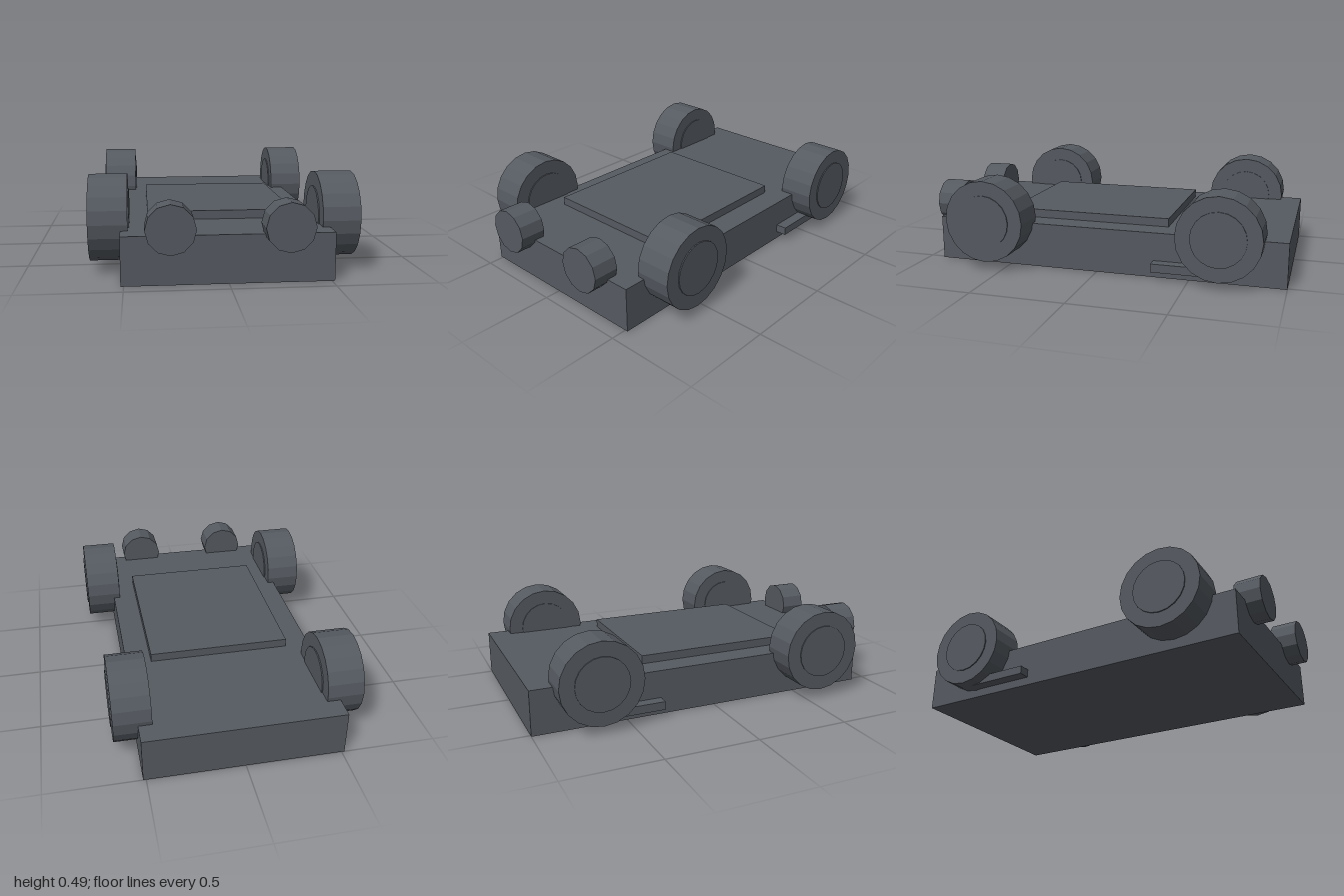
import * as THREE from 'three';

export function createModel() {
  const car = new THREE.Group();
  car.name = 'lowCar';
  const grey = new THREE.MeshStandardMaterial({ color: 0x555a61, flatShading: true });
  grey.name = 'slate grey';

  const add = (name, geometry, x, y, z, parent = car) => {
    const mesh = new THREE.Mesh(geometry, grey);
    mesh.name = name;
    mesh.position.set(x, y, z);
    parent.add(mesh);
    return mesh;
  };

  // Slab body and raised roof panel
  add('body', new THREE.BoxGeometry(1.03, 0.24, 1.915), 0, 0.12, -0.0425);
  add('roofPanel', new THREE.BoxGeometry(0.76, 0.045, 0.905), 0, 0.2625, 0.0925);

  // Cylinders turned to lie across the car (x) or along it (z)
  const across = (r, length, sides) =>
    new THREE.CylinderGeometry(r, r, length, sides).rotateZ(Math.PI / 2);
  const along = (r, length, sides) =>
    new THREE.CylinderGeometry(r, r, length, sides).rotateX(Math.PI / 2);

  const addWheel = (name, x, y, z) => {
    const wheel = new THREE.Group();
    wheel.name = name;
    wheel.position.set(x, y, z);
    add('tyre', across(0.22, 0.192, 20), 0, 0, 0, wheel);
    // The hub stands slightly proud on both faces
    add('hub', across(0.143, 0.204, 20), 0, 0, 0, wheel);
    car.add(wheel);
  };

  for (const [side, s] of [['left', 1], ['right', -1]]) {
    addWheel(side + 'FrontWheel', s * 0.575, 0.27, 0.58);
    addWheel(side + 'RearWheel', s * 0.54, 0.262, -0.665);
    add(side + 'Headlight', along(0.12, 0.14, 12), s * 0.28, 0.284, 0.93);
    // Side pipe running into the rear wheel
    add(side + 'SidePipe', new THREE.BoxGeometry(0.08, 0.045, 0.35), s * 0.535, 0.068, -0.485);
  }

  return car;
}
